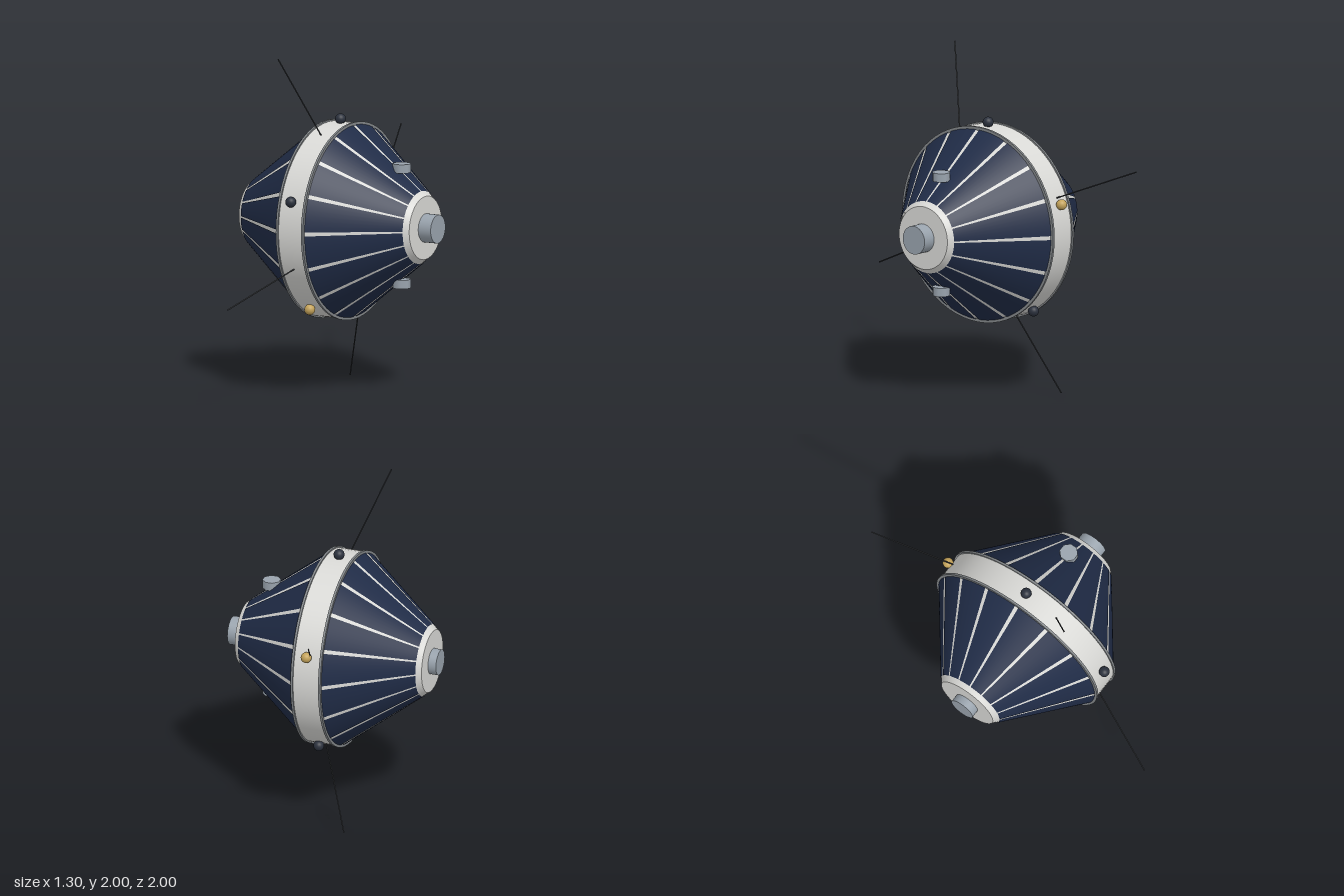
import * as THREE from 'three';

const mat = (name, color) => {
  const m = new THREE.MeshStandardMaterial({ color });
  m.name = name;
  return m;
};

export function createModel() {
  const shell = mat('shell white', 0xd9d9d6);
  const navy = mat('solar navy', 0x202c47);
  const rim = mat('rim grey', 0x83878a);
  const metal = mat('nozzle grey', 0x99a3ad);
  const dark = mat('sensor dark', 0x2b313d);
  const gold = mat('sensor gold', 0xc4a35a);
  const wire = mat('antenna dark', 0x33363a);

  const model = new THREE.Group();
  model.name = 'satellite';
  const add = (name, geometry, material, parent = model) => {
    const mesh = new THREE.Mesh(geometry, material);
    mesh.name = name;
    parent.add(mesh);
    return mesh;
  };
  // Body of revolution about the x axis; each point is [x, radius].
  const spin = (pts, segs = 64, start = 0, length = Math.PI * 2) =>
    new THREE.LatheGeometry(pts.map(([x, r]) => new THREE.Vector2(r, x)), segs, start, length)
      .rotateZ(-Math.PI / 2);

  const body = new THREE.Group();
  body.name = 'body';
  body.position.set(-0.02, 1, 0);
  model.add(body);

  // Central band with a rim on each edge
  add('band', spin([[-0.085, 0.577], [0.085, 0.577]]), shell, body);
  for (const s of [-1, 1]) {
    add('bandRim', spin([[-0.007, 0.55], [-0.007, 0.586], [-0.007, 0.586],
      [0.007, 0.586], [0.007, 0.586], [0.007, 0.55]]), rim, body).position.x = s * 0.086;
  }

  // Each half: white cone, sixteen solar panels, end cap and nozzle
  const step = Math.PI / 8, gap = 0.042;
  for (const s of [-1, 1]) {
    const half = new THREE.Group();
    half.name = s > 0 ? 'leftHalf' : 'rightHalf';
    if (s < 0) half.rotation.y = Math.PI;
    body.add(half);
    add('cone', spin([[0.085, 0.572], [0.56, 0.205]]), shell, half);
    for (let i = 0; i < 16; i++) {
      add('solarPanel', spin([[0.094, 0.57], [0.553, 0.215]], 6,
        i * step + gap / 2, step - gap), navy, half);
    }
    add('endCap', spin([[0.553, 0.2], [0.553, 0.208], [0.553, 0.208],
      [0.582, 0.188], [0.582, 0.188], [0.582, 0]]), shell, half);
    const r = s > 0 ? 0.085 : 0.077, end = s > 0 ? 0.667 : 0.632;
    add('nozzle', new THREE.CylinderGeometry(r, r, end - 0.57, 32).rotateZ(-Math.PI / 2),
      metal, half).position.x = (end + 0.57) / 2;
  }

  // Small octagonal thrusters above and below the left half
  for (const s of [-1, 1]) {
    const thruster = add('thruster', new THREE.CylinderGeometry(0.055, 0.055, 0.052, 8)
      .rotateY(Math.PI / 8), metal);
    thruster.position.set(0.4, 1 + s * 0.344, 0);
  }

  // Five round sensors around the band
  for (let i = 0; i < 5; i++) {
    const a = Math.PI / 2 + i * Math.PI * 0.4;
    const sensor = add('sensor', new THREE.SphereGeometry(0.032, 20, 14),
      i === 1 || i === 3 ? gold : dark);
    sensor.position.set(-0.02, 1 + 0.6 * Math.sin(a), 0.6 * Math.cos(a));
  }

  // Four swept-back wire antennas
  for (let i = 0; i < 4; i++) {
    const a = Math.PI * (3 / 8 + i / 2);
    const at = (x, r) => new THREE.Vector3(x, 1 + r * Math.sin(a), r * Math.cos(a));
    const path = new THREE.LineCurve3(at(-0.02, 0.575), at(-0.2, 1.081));
    add('antenna', new THREE.TubeGeometry(path, 1, 0.004, 8), wire);
  }
  return model;
}
